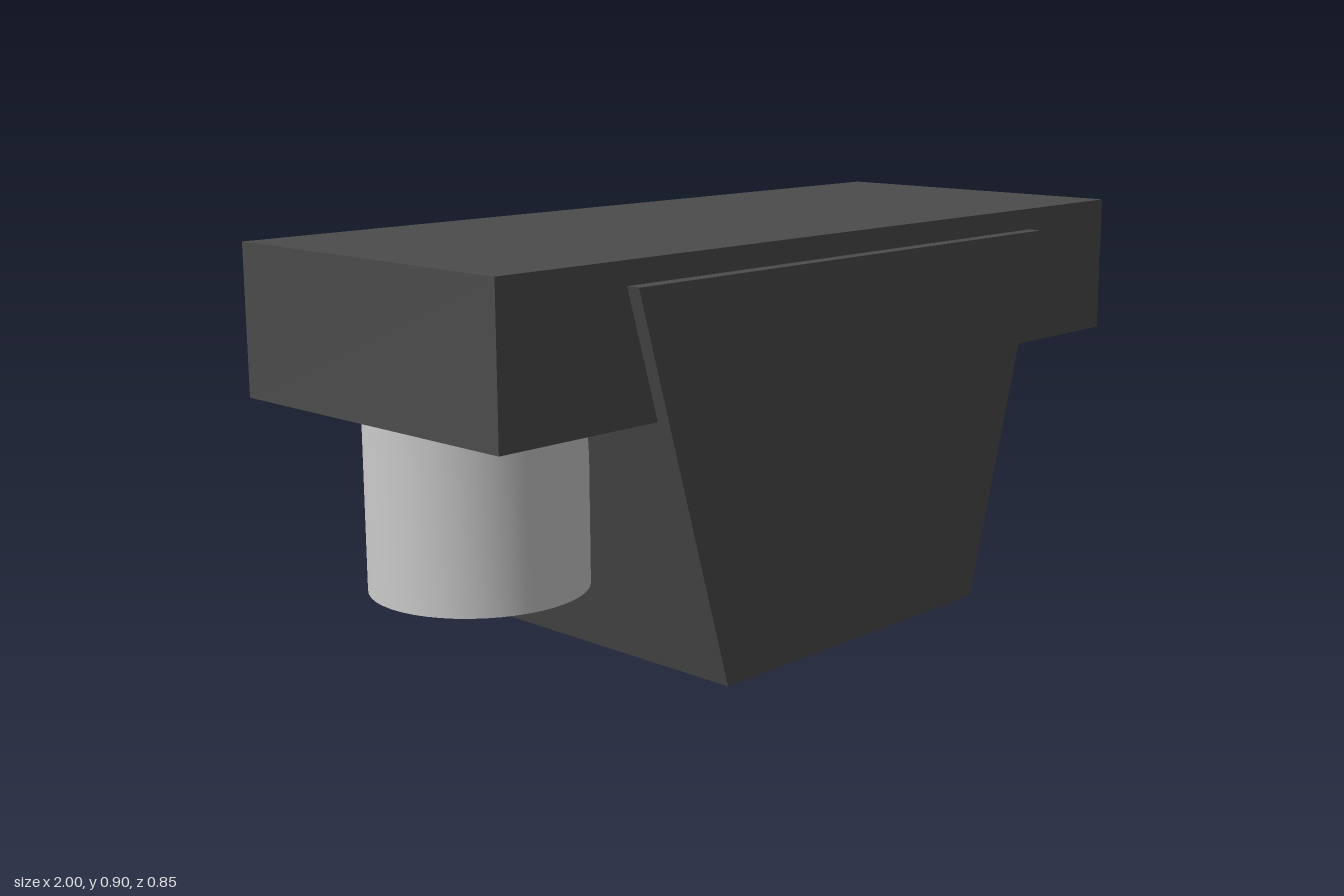
import * as THREE from 'three';
import { toCreasedNormals } from 'three/addons/utils/BufferGeometryUtils.js';

const BAR_BOTTOM = 0.58, BAR_TOP = 0.905;

// Joins rectangular loops [halfX, y, halfZ] into a flat-faced skin, closing the last loop
function rectLoft(loops) {
  const corners = ([x, y, z]) => [[x, y, z], [x, y, -z], [-x, y, -z], [-x, y, z]];
  const pos = [];
  const quad = (a, b, c, d) => pos.push(...a, ...b, ...c, ...a, ...c, ...d);
  for (let i = 0; i < loops.length - 1; i++) {
    const lo = corners(loops[i]), hi = corners(loops[i + 1]);
    for (let k = 0; k < 4; k++) {
      const n = (k + 1) % 4;
      quad(lo[k], lo[n], hi[n], hi[k]);
    }
  }
  quad(...corners(loops[loops.length - 1]));
  const geo = new THREE.BufferGeometry();
  geo.setAttribute('position', new THREE.Float32BufferAttribute(pos, 3));
  geo.computeVertexNormals();
  return geo;
}

export function createModel() {
  const model = new THREE.Group();
  const dark = new THREE.MeshStandardMaterial({ color: 0x4c4c4c });
  const grey = new THREE.MeshStandardMaterial({ color: 0xcccccc });
  const add = (name, geo, mat, x = 0, y = 0) => {
    const mesh = new THREE.Mesh(geo, mat);
    mesh.name = name;
    mesh.position.set(x, y, 0);
    model.add(mesh);
  };

  // Long bar across the top
  add('topBar', new THREE.BoxGeometry(2, BAR_TOP - BAR_BOTTOM, 0.79), dark, 0, (BAR_TOP + BAR_BOTTOM) / 2);

  // Tapered housing with a straight square opening underneath
  add('taperedHousing', rectLoft([
    [0.333, BAR_BOTTOM, 0.333],
    [0.333, 0, 0.333],
    [0.427, 0, 0.427],
    [0.675, 0.855, 0.427],
  ]), dark);

  // Hollow tubes hanging from both ends of the bar
  const profile = [[0.163, BAR_BOTTOM], [0.163, 0.197], [0.23, 0.197], [0.23, BAR_BOTTOM]]
    .map(([r, y]) => new THREE.Vector2(r, y));
  const tube = toCreasedNormals(new THREE.LatheGeometry(profile, 48), 0.6);
  for (const side of [1, -1]) add(side > 0 ? 'leftTube' : 'rightTube', tube, grey, side * 0.725);

  return model;
}
